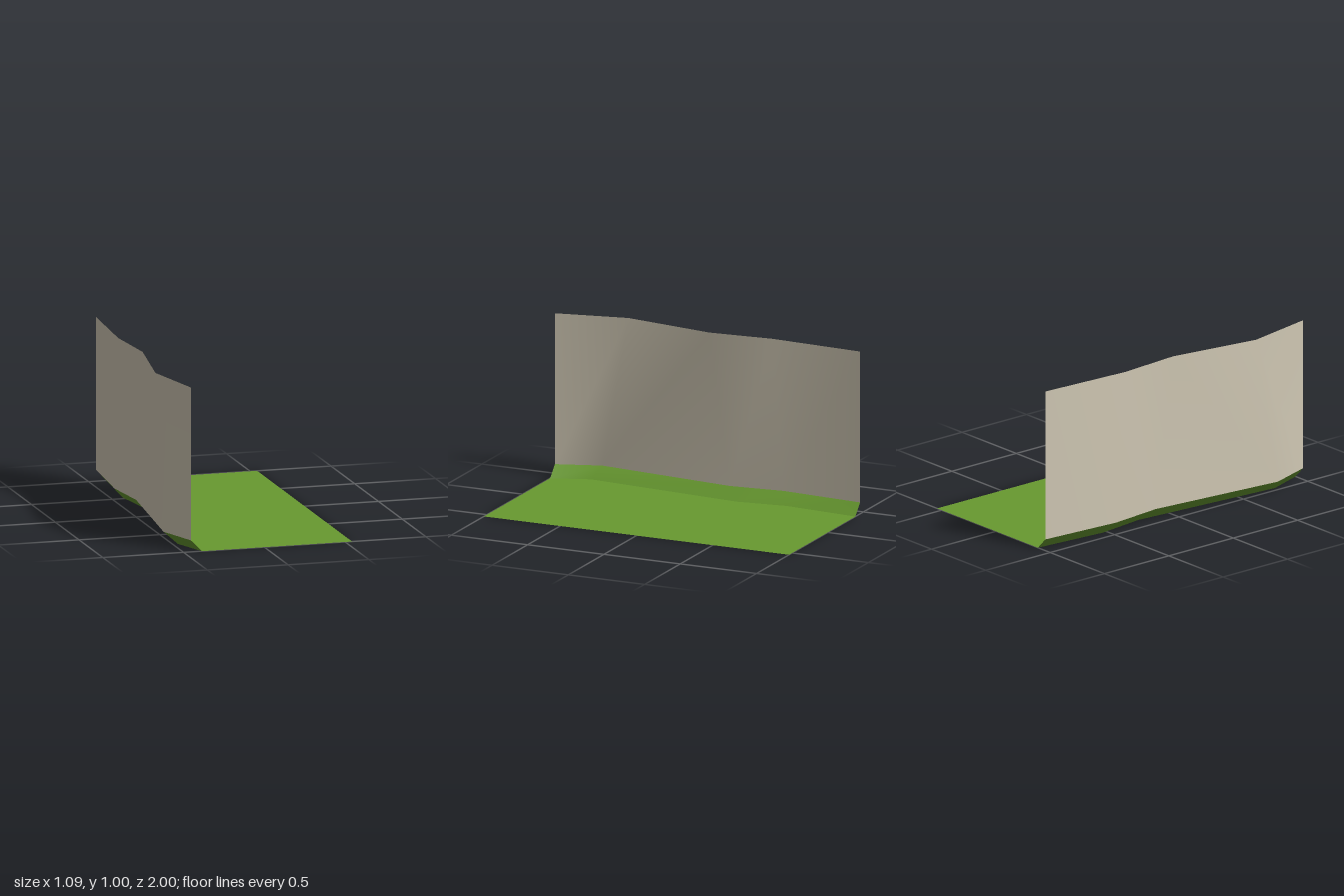
import * as THREE from 'three';

// Sheet between two matching rows of [x, y, z] points, smooth along its length
function loft(a, b) {
  const geo = new THREE.BufferGeometry();
  const index = [];
  const n = a.length;
  for (let i = 0; i < n - 1; i++) index.push(i, i + 1, n + i + 1, i, n + i + 1, n + i);
  geo.setAttribute('position', new THREE.Float32BufferAttribute([...a, ...b].flat(), 3));
  geo.setIndex(index);
  geo.computeVertexNormals();
  return geo;
}

export function createModel() {
  const group = new THREE.Group();
  const stone = new THREE.MeshStandardMaterial({ color: 0xcfc7b3, side: THREE.DoubleSide });
  stone.name = 'paleStone';
  const grass = new THREE.MeshStandardMaterial({ color: 0x689a30, side: THREE.DoubleSide });
  grass.name = 'grassGreen';

  // Wavy edges as [x, z], running from front to back
  const row = (points, y) => points.map(([x, z]) => [x, y, z]);
  const wallTop = row([[-0.455, 1], [-0.545, 0.56], [-0.457, -0.01], [-0.49, -0.41], [-0.455, -1]], 1);
  const wallFoot = row([[-0.455, 1], [-0.545, 0.73], [-0.457, -0.145], [-0.493, -0.48], [-0.455, -1]], 0.07);
  const bankFoot = row([[-0.387, 1], [-0.468, 0.77], [-0.387, -0.22], [-0.427, -0.53], [-0.387, -1]], 0);
  const outerEdge = bankFoot.map(([, y, z]) => [0.543, y, z]);

  const add = (name, a, b, material) => {
    const mesh = new THREE.Mesh(loft(a, b), material);
    mesh.name = name;
    group.add(mesh);
  };
  // Upright wall, sloping bank at its foot, level ground
  add('wall', wallFoot, wallTop, stone);
  add('bank', bankFoot, wallFoot, grass);
  add('ground', outerEdge, bankFoot, grass);
  return group;
}
